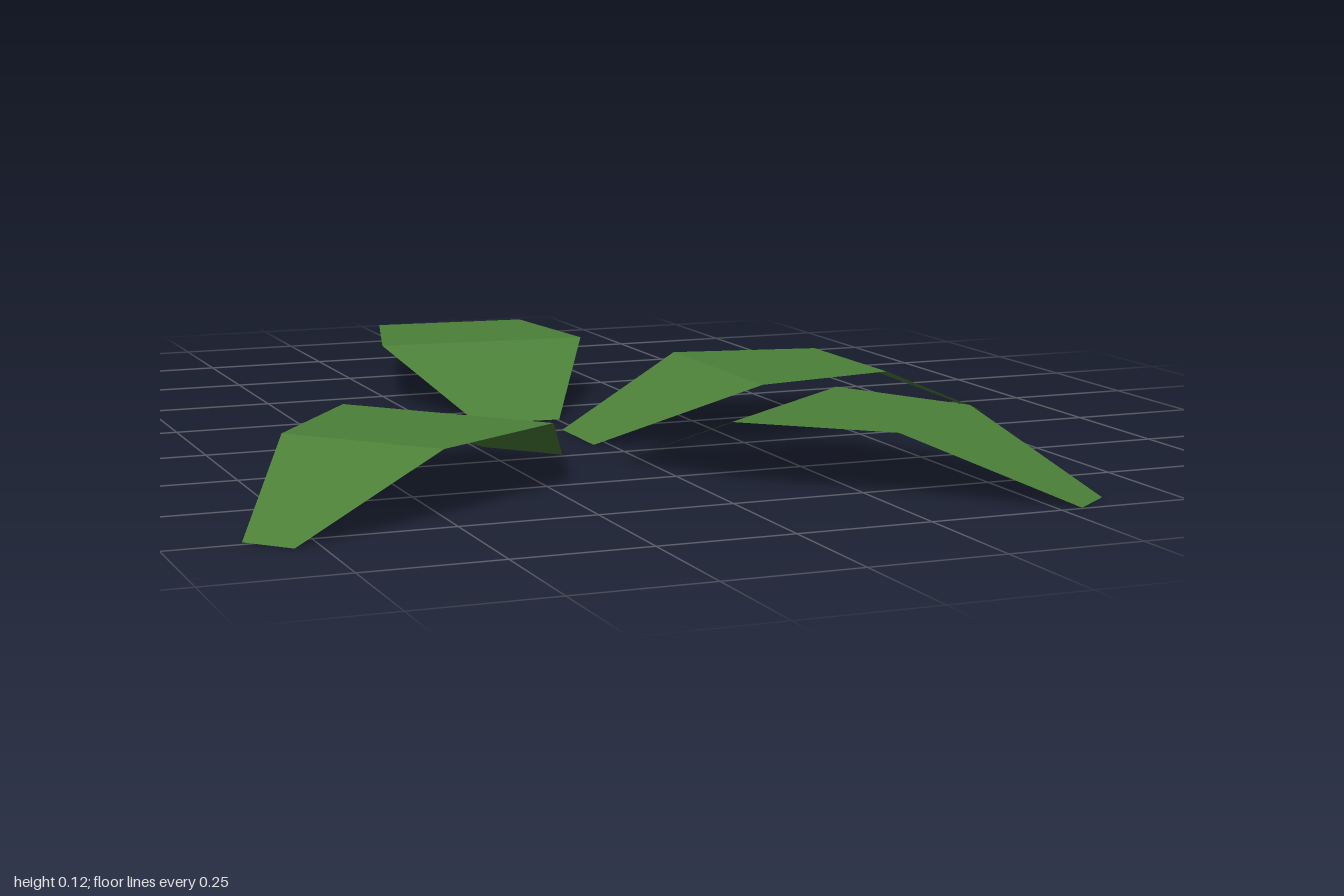
import * as THREE from 'three';

// Leaf cross-sections from base to tip: [distance, height, half width]
const SECTIONS = [
  [0, 0, 0.085],
  [0.295, 0.12, 0.216],
  [0.59, 0.12, 0.16],
  [0.884, 0, 0.05],
];

// Each leaf: name, base x, base z, turn about y
const LEAVES = [
  ['leftLeaf', -0.03, 0.083, 0],
  ['backLeaf', -0.08, -0.118, 1.486],
  ['rightLeaf', -0.178, 0.173, -2.398],
  ['frontLeaf', 0.035, 0.27, -0.904],
];

// A flat strip bent and tapered along +x
function leafGeometry() {
  const strip = new THREE.PlaneGeometry(1, 1, SECTIONS.length - 1, 1).rotateX(-Math.PI / 2);
  const pos = strip.attributes.position;
  for (let i = 0; i < pos.count; i++) {
    const [x, y, w] = SECTIONS[i % SECTIONS.length];
    pos.setXYZ(i, x, y, Math.sign(pos.getZ(i)) * w);
  }
  const geometry = strip.toNonIndexed();
  geometry.computeVertexNormals();
  return geometry;
}

export function createModel() {
  const group = new THREE.Group();
  group.name = 'leafCluster';
  const leafGreen = new THREE.MeshStandardMaterial({
    color: 0x4c8038, flatShading: true, side: THREE.DoubleSide,
  });
  leafGreen.name = 'leaf green';

  // Four identical arched leaves around the centre
  const geometry = leafGeometry();
  for (const [name, x, z, turn] of LEAVES) {
    const leaf = new THREE.Mesh(geometry, leafGreen);
    leaf.name = name;
    leaf.position.set(x, 0, z);
    leaf.rotation.y = turn;
    group.add(leaf);
  }
  return group;
}
